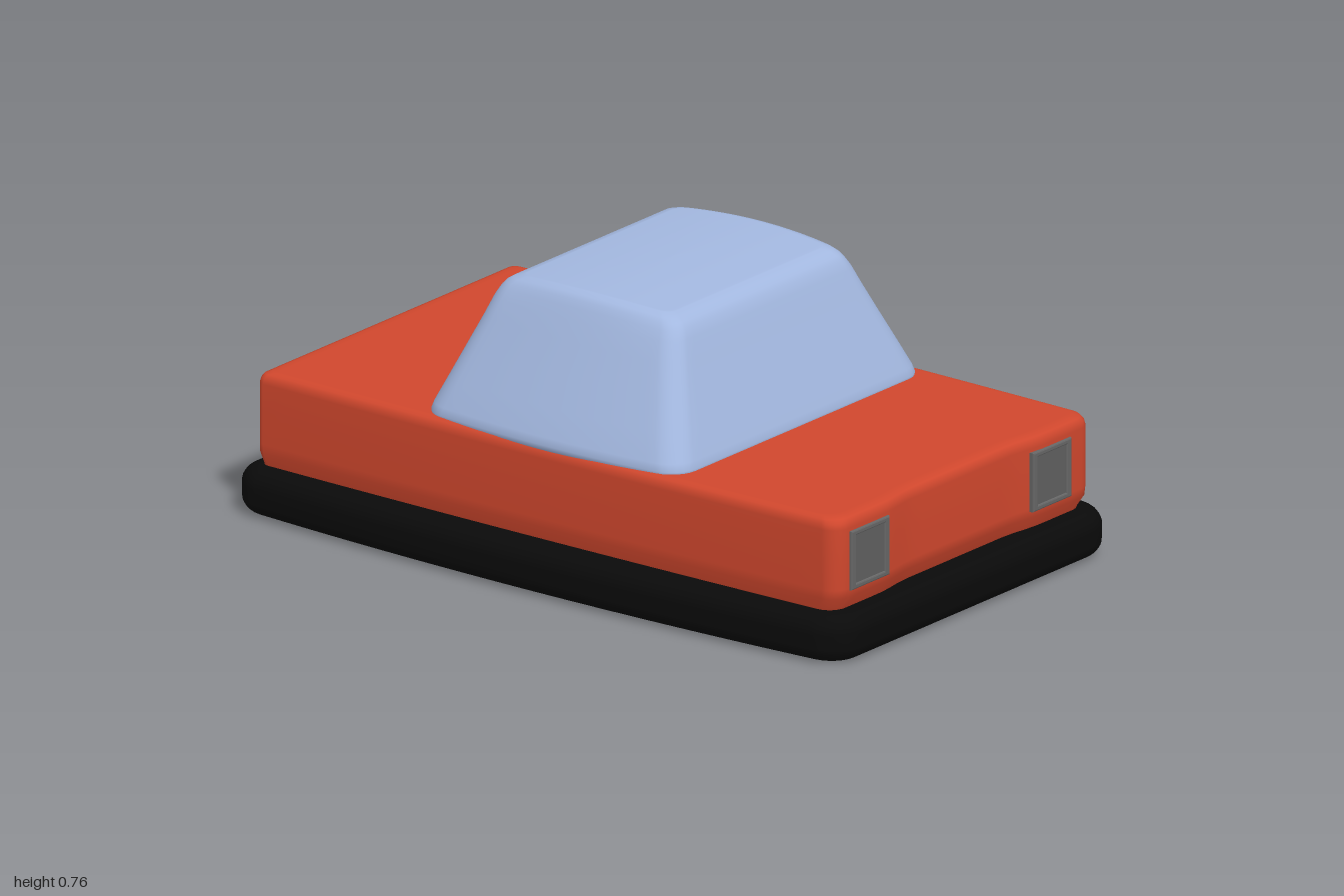
import * as THREE from 'three';

// Rounded rectangle in x/z; the long sides bow outwards. Corner radii differ at the +x and -x ends.
function outline(a, b, rPos, rNeg, bow) {
  const corners = [[1, 1, rPos, 0], [-1, 1, rNeg, 1], [-1, -1, rNeg, 2], [1, -1, rPos, 3]];
  const arcs = corners.map(([sx, sz, r, q]) => {
    const pts = [];
    for (let i = 0; i <= 6; i++) {
      const t = (q + i / 6) * Math.PI / 2;
      pts.push([sx * (a - r) + r * Math.cos(t), sz * (b - r) + r * Math.sin(t)]);
    }
    return pts;
  });
  const pts = [];
  arcs.forEach((arc, k) => {
    pts.push(...arc);
    const p = arc[6], q = arcs[(k + 1) % 4][0];
    for (let i = 1; i < 24; i++) {
      const t = i / 24;
      pts.push([p[0] + (q[0] - p[0]) * t, p[1] + (q[1] - p[1]) * t]);
    }
  });
  return pts.map(([x, z]) => [x, z * (1 - bow * (x / a) ** 2)]);
}

// Smooth closed skin through rings [y, halfX, halfZ, rPos, rNeg, bow]; both ends shrink to the middle.
function loft(rings, warp) {
  const loops = rings.map(([y, ...o]) => outline(...o).map(([x, z]) => [x, y, z]));
  const cap = (loop, scales) => scales.map(s => loop.map(([x, y, z]) => [x * s, y, z * s]));
  const all = [
    ...cap(loops[0], [0, 0.5, 0.98]), ...loops,
    ...cap(loops[loops.length - 1], [0.98, 0.85, 0.7, 0.5, 0.25, 0]),
  ];
  const n = loops[0].length, pos = [], index = [];
  for (const loop of all) for (const p of loop) pos.push(...(warp ? warp(...p) : p));
  for (let k = 0; k < all.length - 1; k++) {
    for (let i = 0; i < n; i++) {
      const j = (i + 1) % n, a = k * n + i, b = k * n + j;
      index.push(a, a + n, b, b, a + n, b + n);
    }
  }
  const g = new THREE.BufferGeometry();
  g.setAttribute('position', new THREE.Float32BufferAttribute(pos, 3));
  g.setIndex(index);
  g.computeVertexNormals();
  return g;
}

function rect(path, w, h) {
  path.moveTo(-w, -h).lineTo(w, -h).lineTo(w, h).lineTo(-w, h).closePath();
  return path;
}

export function createModel() {
  const model = new THREE.Group();
  const material = color => new THREE.MeshStandardMaterial({ color });
  const add = (name, geometry, mat, parent = model) => {
    const mesh = new THREE.Mesh(geometry, mat);
    mesh.name = name;
    parent.add(mesh);
    return mesh;
  };

  // Rubber bumper: rounded edge all the way round
  const bumper = [];
  for (let i = 0; i <= 16; i++) {
    const t = -Math.PI / 2 + Math.PI * i / 16;
    const inset = 0.05 * (1 - Math.cos(t));
    const y = 0.065 + 0.05 * Math.sin(t) + (i < 8 ? -0.015 : 0.015);
    bumper.push([y, 1 - inset, 0.623 - inset, 0.1 - inset, 0.085 - inset, 0.065]);
  }
  add('bumper', loft(bumper), material(0x0a0a0a));

  // Body: tucked in at the bottom, with a shallow dip in the lamp end
  const body = [
    [0.11, 0.94, 0.535], [0.135, 0.943, 0.54], [0.165, 0.95, 0.548], [0.19, 0.95, 0.55],
    [0.28, 0.95, 0.55], [0.355, 0.95, 0.55], [0.37, 0.947, 0.547], [0.38, 0.94, 0.54], [0.385, 0.925, 0.528],
  ].map(r => [...r, 0.05, 0.02, 0.02]);
  const dip = (x, y, z) => {
    const end = THREE.MathUtils.smoothstep(x, 0.6, 0.92);
    const middle = 1 - THREE.MathUtils.smoothstep(Math.abs(z), 0.2, 0.34);
    const tuck = 1 - THREE.MathUtils.smoothstep(y, 0.12, 0.18);
    return [x + 0.006 - end * (0.014 * middle + 0.015 * tuck), y, z];
  };
  add('body', loft(body, dip), material(0xd0472d));

  // Cabin: tapering sides and a gently crowned roof
  const cabin = [
    [0.375, 0.422, 0.543, 0.07], [0.39, 0.422, 0.546, 0.07], [0.41, 0.416, 0.54, 0.07],
    [0.48, 0.388, 0.507, 0.065], [0.56, 0.357, 0.468, 0.06], [0.64, 0.326, 0.43, 0.055],
    [0.69, 0.308, 0.406, 0.05], [0.72, 0.296, 0.39, 0.045], [0.738, 0.284, 0.38, 0.04],
    [0.75, 0.268, 0.368, 0.035], [0.757, 0.245, 0.35, 0.03],
  ].map(([y, a, b, r]) => [y, a, b, r, r, 0.05]);
  const crown = (x, y, z) => {
    const high = THREE.MathUtils.smoothstep(y, 0.68, 0.757);
    return [x, y - 0.012 * high * Math.min(1, (x / 0.25) ** 2), z];
  };
  add('cabin', loft(cabin, crown), material(0xa3b8e0));

  // Square lamps: raised frame around a recessed pane
  const frameShape = rect(new THREE.Shape(), 0.077, 0.077);
  frameShape.holes.push(rect(new THREE.Path(), 0.064, 0.07));
  const frameGeometry = new THREE.ExtrudeGeometry(frameShape, {
    depth: 0.025, bevelThickness: 0.004, bevelSize: 0.004, bevelSegments: 2,
  });
  const grey = material(0x666666), paneGrey = material(0x606060);
  for (const z of [0.405, -0.36]) {
    const lamp = new THREE.Group();
    lamp.name = z > 0 ? 'leftLamp' : 'rightLamp';
    lamp.position.set(0.934, 0.265, z);
    lamp.rotation.y = Math.PI / 2;
    add('lampFrame', frameGeometry, grey, lamp);
    add('lampPane', new THREE.BoxGeometry(0.136, 0.148, 0.025), paneGrey, lamp).position.z = 0.012;
    model.add(lamp);
  }
  return model;
}
